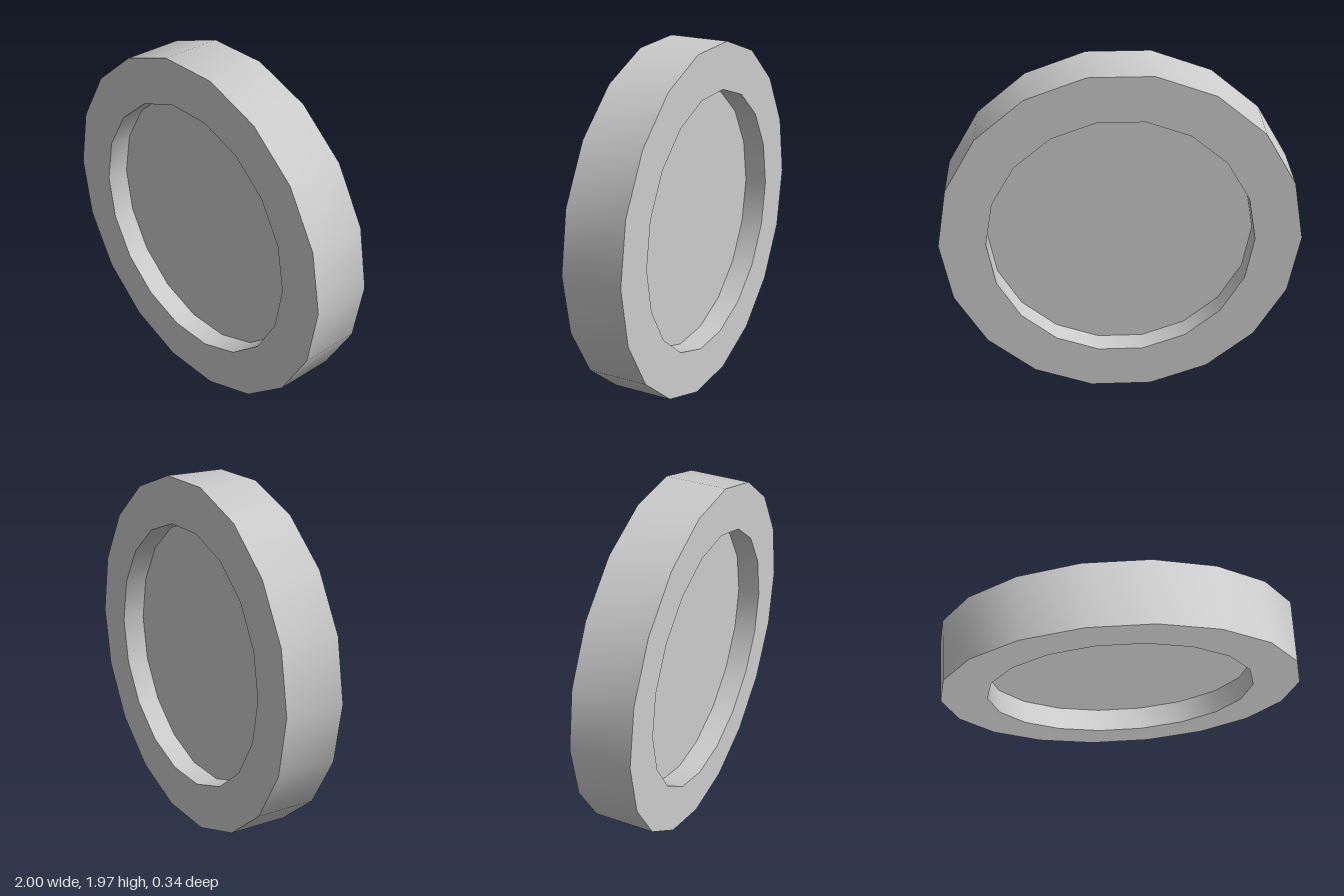
import * as THREE from 'three';
import { toCreasedNormals } from 'three/addons/utils/BufferGeometryUtils.js';

const SIDES = 18;
const OUTER = 1, INNER = 0.74;
const HALF_DEPTH = 0.17, HALF_FLOOR = 0.04;
const CENTRE_Y = OUTER * Math.cos(Math.PI / SIDES);

// Corners of a regular polygon with one corner on +x
function ring(radius) {
  return Array.from({ length: SIDES }, (_, i) => {
    const a = (i / SIDES) * Math.PI * 2;
    return new THREE.Vector2(radius * Math.cos(a), radius * Math.sin(a));
  });
}

export function createModel() {
  const group = new THREE.Group();
  group.name = 'recessedDisc';
  const material = new THREE.MeshStandardMaterial({ color: 0xcccccc });

  // Thick rim, smooth around the walls with sharp front and back edges
  const shape = new THREE.Shape(ring(OUTER));
  shape.holes.push(new THREE.Path(ring(INNER)));
  const rimGeometry = new THREE.ExtrudeGeometry(shape, { depth: 2 * HALF_DEPTH, bevelEnabled: false });
  rimGeometry.translate(0, 0, -HALF_DEPTH);
  const rim = new THREE.Mesh(toCreasedNormals(rimGeometry, Math.PI / 6), material);
  rim.name = 'rim';
  rim.position.y = CENTRE_Y;
  group.add(rim);

  // Recessed floors, one facing each way
  for (const [name, side] of [['frontPanel', 1], ['backPanel', -1]]) {
    const panel = new THREE.Mesh(new THREE.CircleGeometry(INNER, SIDES), material);
    panel.name = name;
    panel.position.set(0, CENTRE_Y, side * HALF_FLOOR);
    if (side < 0) panel.rotation.y = Math.PI;
    group.add(panel);
  }

  return group;
}
